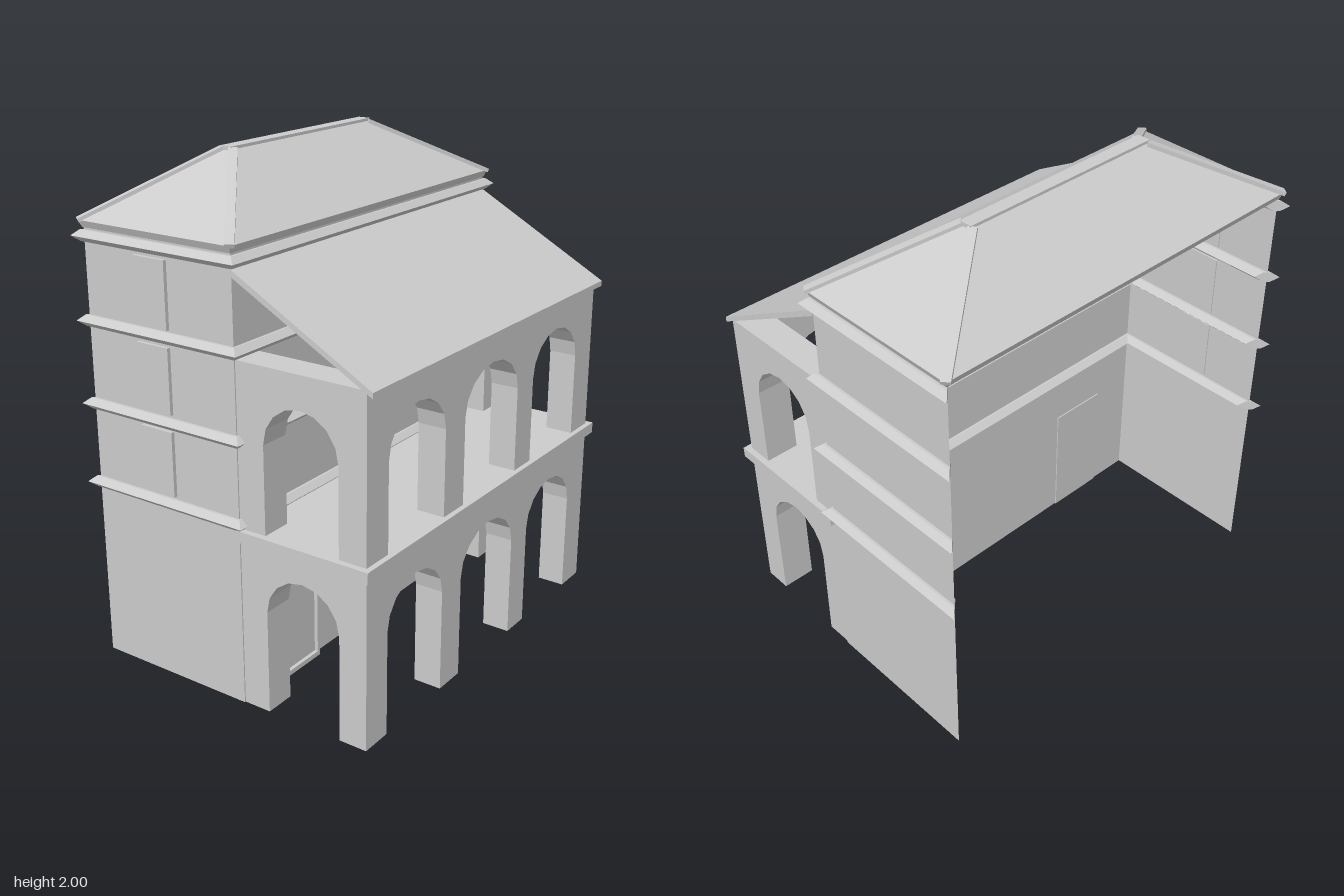
import * as THREE from 'three';

const material = new THREE.MeshStandardMaterial({ color: 0xcccccc, flatShading: true, side: THREE.DoubleSide });

// Tower footprint and loggia extents
const W = 0.835, ZF = 0.075, ZB = -0.615, LW = 0.83, LZ = 0.625;

function add(parent, name, geometry) {
  const mesh = new THREE.Mesh(geometry, material);
  mesh.name = name;
  parent.add(mesh);
  return mesh;
}

// Box given by its limits on each axis
function box(parent, name, [x0, x1], [y0, y1], [z0, z1]) {
  const mesh = add(parent, name, new THREE.BoxGeometry(x1 - x0, y1 - y0, z1 - z0));
  mesh.position.set((x0 + x1) / 2, (y0 + y1) / 2, (z0 + z1) / 2);
  return mesh;
}

// Surface through a list of equal rings of Vector3
function loft(rings, closed, caps) {
  const n = rings[0].length, index = [];
  for (let r = 0; r < rings.length - 1; r++) {
    for (let i = 0; i < (closed ? n : n - 1); i++) {
      const a = r * n + i, b = r * n + (i + 1) % n;
      index.push(a, b, a + n, b, b + n, a + n);
    }
  }
  const last = (rings.length - 1) * n;
  if (caps) for (let i = 1; i < n - 1; i++) {
    index.push(0, i + 1, i, last, last + i, last + i + 1);
  }
  const geometry = new THREE.BufferGeometry().setFromPoints(rings.flat());
  geometry.setIndex(index);
  const flat = geometry.toNonIndexed();
  flat.computeVertexNormals();
  return flat;
}

// Wall with round-headed openings that reach its foot
function arcadeGeometry(start, end, openings, foot, spring, apex, top, depth) {
  const shape = new THREE.Shape();
  shape.moveTo(start, foot);
  for (const [a, b] of openings) {
    shape.lineTo(a, foot);
    for (let i = 0; i <= 8; i++) {
      const t = Math.PI * (1 - i / 8);
      shape.lineTo((a + b) / 2 + (b - a) / 2 * Math.cos(t), spring + (apex - spring) * Math.sin(t));
    }
    shape.lineTo(b, foot);
  }
  shape.lineTo(end, foot);
  shape.lineTo(end, top);
  shape.lineTo(start, top);
  return new THREE.ExtrudeGeometry(shape, { depth, bevelEnabled: false });
}

// Three-sided moulding, mitred at the corners, open at the back
function bandGeometry(y) {
  const profile = [[0.01, 0.022], [0.035, 0], [0.01, -0.022], [-0.01, -0.022], [-0.035, 0], [-0.01, 0.022]];
  const corners = [[-1, -1], [-1, 1], [1, 1], [1, -1]];
  const rings = corners.map(([sx, sz]) => profile.map(([d, h]) =>
    new THREE.Vector3(sx * (W + d), y + h, (sz > 0 ? ZF : ZB) + sz * d)));
  return loft(rings, true, true);
}

// Rectangular ring, anticlockwise seen from above
function rectangle(x, z0, z1, y) {
  return [[-x, z1], [x, z1], [x, z0], [-x, z0]].map(([px, pz]) => new THREE.Vector3(px, y, pz));
}

function buildTower() {
  const tower = new THREE.Group();
  tower.name = 'tower';

  // Thin front and side walls, open at the back
  const plan = y => [[-W, ZB], [-W, ZF], [W, ZF], [W, ZB]].map(([x, z]) => new THREE.Vector3(x, y, z));
  add(tower, 'towerWalls', loft([plan(0), plan(1.74)], false, false));

  for (const y of [0.735, 1.055, 1.38, 1.70]) add(tower, 'moulding', bandGeometry(y));

  // Shallow panels on one side wall, one per storey
  for (const y of [0.77, 1.09, 1.41]) box(tower, 'sidePanel', [-0.85, -0.83], [y, y + 0.255], [-0.37, -0.22]);

  // Door with a raised frame
  box(tower, 'doorPanel', [-0.635, -0.405], [0.02, 0.49], [0.07, 0.085]);
  for (const [a, b] of [[-0.65, -0.635], [-0.41, -0.395]]) box(tower, 'doorJamb', [a, b], [0, 0.51], [0.07, 0.1]);
  box(tower, 'doorLintel', [-0.635, -0.41], [0.49, 0.51], [0.07, 0.1]);
  box(tower, 'doorSill', [-0.635, -0.41], [0, 0.02], [0.07, 0.1]);
  return tower;
}

function buildHipRoof() {
  const roof = new THREE.Group();
  roof.name = 'hipRoof';
  const rings = [
    rectangle(0.84, -0.617, 0.077, 1.73),
    rectangle(0.852, -0.627, 0.085, 1.757),
    rectangle(0.43, -0.295, -0.245, 1.99),
  ];
  add(roof, 'roofSlopes', loft(rings, true, false));
  box(roof, 'ridgeCap', [-0.44, 0.44], [1.982, 2], [-0.297, -0.243]);

  // Raised strips along the four hips
  for (let i = 0; i < 4; i++) {
    const low = rings[1][i], high = rings[2][i];
    const along = high.clone().sub(low);
    const cap = add(roof, 'hipCap', new THREE.BoxGeometry(0.035, 0.016, along.length()));
    along.normalize();
    const side = new THREE.Vector3(0, 1, 0).cross(along).normalize();
    const up = along.clone().cross(side);
    cap.quaternion.setFromRotationMatrix(new THREE.Matrix4().makeBasis(side, up, along));
    cap.position.copy(low).add(high).multiplyScalar(0.5);
  }
  return roof;
}

function buildLoggia() {
  const loggia = new THREE.Group();
  loggia.name = 'loggia';
  const frontOpenings = [[-0.70, -0.335], [-0.2, 0.195], [0.32, 0.69]];
  const thick = 0.125;

  // Two storeys: foot, arch spring, arch apex and top
  for (const [foot, spring, apex, top] of [[0, 0.415, 0.575, 0.68], [0.72, 1.065, 1.228, 1.355]]) {
    const front = add(loggia, 'frontArcade',
      arcadeGeometry(-LW, LW, frontOpenings, foot, spring, apex, top, thick - 0.01));
    front.position.z = LZ - thick + 0.01;
    for (const x of [-LW, LW - thick]) {
      // Drawn along -z, then turned to run front to back
      const side = add(loggia, 'sideArcade',
        arcadeGeometry(-0.51, -ZF, [[-0.51, -0.19]], foot, spring, apex, top, thick));
      side.rotation.y = Math.PI / 2;
      side.position.x = x;
    }
  }
  box(loggia, 'upperFloor', [-0.855, 0.855], [0.675, 0.72], [ZF, 0.647]);

  // Sloping roof sheet against the tower
  const sheet = new THREE.Shape([[-0.655, 1.335], [-ZF, 1.65], [-ZF, 1.675], [-0.655, 1.357]]
    .map(p => new THREE.Vector2(...p)));
  const roof = add(loggia, 'leanToRoof', new THREE.ExtrudeGeometry(sheet, { depth: 1.68, bevelEnabled: false }));
  roof.rotation.y = Math.PI / 2;
  roof.position.x = -0.84;
  return loggia;
}

export function createModel() {
  const model = new THREE.Group();
  model.name = 'house';
  model.add(buildTower(), buildHipRoof(), buildLoggia());
  return model;
}
